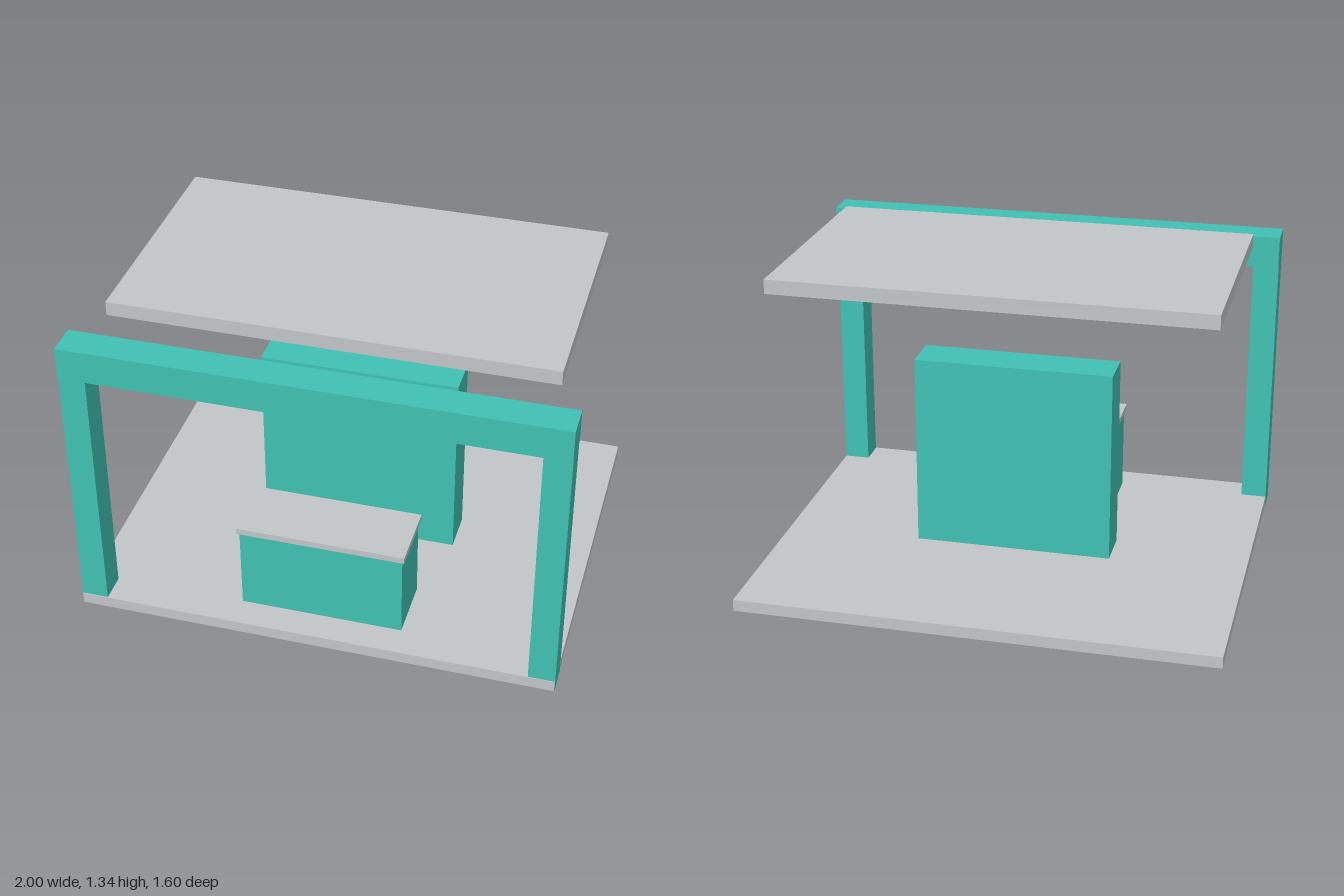
import * as THREE from 'three';

export function createModel() {
  const teal = new THREE.MeshStandardMaterial({ color: 0x40c1b3 });
  teal.name = 'teal';
  const grey = new THREE.MeshStandardMaterial({ color: 0xc2c5c8 });
  grey.name = 'light grey';

  const model = new THREE.Group();
  model.name = 'exhibitionBooth';

  // Box given by its extents along each axis
  function addBox(name, material, [x0, x1], [y0, y1], [z0, z1]) {
    const mesh = new THREE.Mesh(new THREE.BoxGeometry(x1 - x0, y1 - y0, z1 - z0), material);
    mesh.position.set((x0 + x1) / 2, (y0 + y1) / 2, (z0 + z1) / 2);
    mesh.name = name;
    model.add(mesh);
  }

  // Floor, a hair inside the posts so that their outer faces stay visible
  addBox('floor', grey, [-0.999, 0.999], [0.001, 0.05], [-0.8, 0.8]);

  // Entrance frame: two posts and a slightly deeper beam
  addBox('rightPost', teal, [-1, -0.89], [0, 1.146], [0.677, 0.797]);
  addBox('leftPost', teal, [0.89, 1], [0, 1.146], [0.677, 0.797]);
  addBox('beam', teal, [-1, 1], [1.146, 1.282], [0.665, 0.803]);

  // Central display wall
  addBox('displayWall', teal, [-0.42, 0.42], [0.01, 0.88], [-0.09, 0.09]);

  // Reception counter with overhanging top
  addBox('counter', teal, [-0.34, 0.34], [0.01, 0.417], [0.407, 0.67]);
  addBox('counterTop', grey, [-0.35, 0.35], [0.417, 0.444], [0.396, 0.68]);

  // Floating canopy
  addBox('canopy', grey, [-0.9, 0.9], [1.276, 1.336], [-0.52, 0.52]);

  return model;
}
